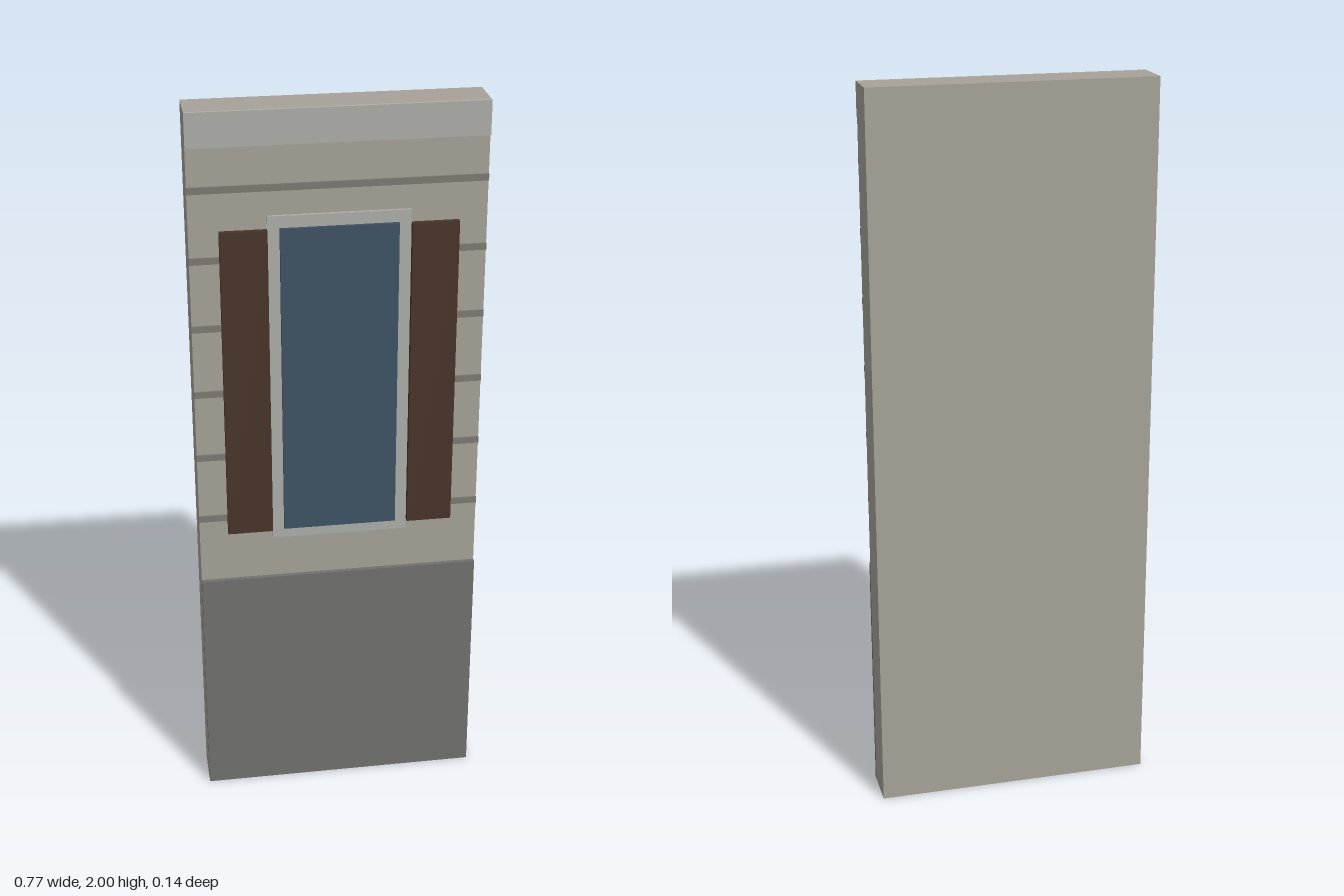
import * as THREE from 'three';

const mat = (color) => new THREE.MeshStandardMaterial({ color });

export function createModel() {
  const group = new THREE.Group();
  const wallMat = mat(0xa6a298), trimMat = mat(0xacaea9), bandMat = mat(0x7d7a73);
  const plinthMat = mat(0x70706e), glassMat = mat(0x3e5263), shutterMat = mat(0x48342a);

  // Box given by its extents on each axis
  const box = (name, material, [x0, x1], [y0, y1], [z0, z1]) => {
    const mesh = new THREE.Mesh(new THREE.BoxGeometry(x1 - x0, y1 - y0, z1 - z0), material);
    mesh.position.set((x0 + x1) / 2, (y0 + y1) / 2, (z0 + z1) / 2);
    mesh.name = name;
    group.add(mesh);
  };

  const W = 0.383, FRONT = 0.043;

  // Wall slab, with the cornice and plinth standing proud of it
  box('wall', wallMat, [-W, W], [0, 2], [-0.0685, FRONT]);
  box('cornice', trimMat, [-W, W], [1.91, 2], [FRONT, 0.051]);
  box('plinth', plinthMat, [-W, W], [0, 0.68], [FRONT, 0.056]);

  // Horizontal siding bands
  for (let i = 0; i < 6; i++) {
    const y = 0.873 + i * 0.1855;
    box(`sidingBand${i + 1}`, bandMat, [-W, W], [y - 0.009, y + 0.009], [FRONT, 0.048]);
  }

  // Window frame with an opening for the pane
  const rect = (path, x, y0, y1) =>
    path.moveTo(-x, y0).lineTo(x, y0).lineTo(x, y1).lineTo(-x, y1).closePath();
  const outline = new THREE.Shape();
  rect(outline, 0.185, 0.803, 1.727);
  const opening = new THREE.Path();
  rect(opening, 0.153, 0.833, 1.695);
  outline.holes.push(opening);
  const frame = new THREE.Mesh(
    new THREE.ExtrudeGeometry(outline, { depth: 0.009, bevelEnabled: false }), trimMat);
  frame.position.z = FRONT;
  frame.name = 'windowFrame';
  group.add(frame);

  // Pane and the pair of shutters
  box('windowPane', glassMat, [-0.153, 0.153], [0.833, 1.695], [FRONT, 0.061]);
  box('leftShutter', shutterMat, [0.185, 0.307], [0.833, 1.695], [0.053, 0.0685]);
  box('rightShutter', shutterMat, [-0.307, -0.185], [0.833, 1.695], [0.053, 0.0685]);

  return group;
}
